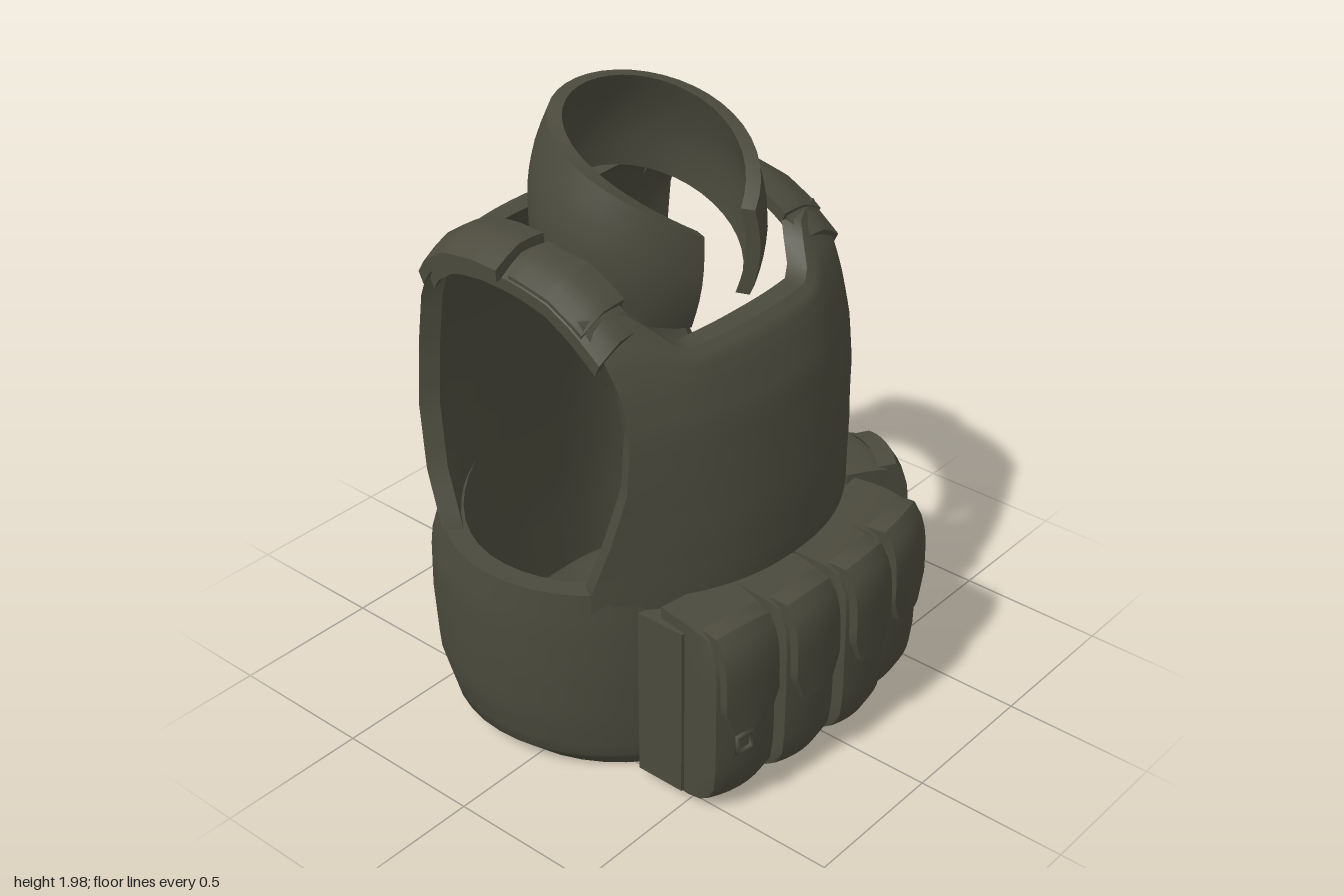
import * as THREE from 'three';

const CX = -0.025; // the vest sits slightly off centre
const { lerp, smoothstep } = THREE.MathUtils;

// Box whose vertices are moved by a rule: a in -1..1 across, b in 0..1 along, c in 0..1 outwards
function warp(na, nb, nc, rule) {
  const g = new THREE.BoxGeometry(2, 1, 1, na, nb, nc);
  const p = g.attributes.position;
  for (let i = 0; i < p.count; i++) {
    p.setXYZ(i, ...rule(p.getX(i), p.getY(i) + 0.5, p.getZ(i) + 0.5));
  }
  g.computeVertexNormals();
  return g;
}

// Linear lookup in a short table of cross-sections
function section(table, t) {
  const s = t * (table.length - 1);
  const i = Math.min(Math.floor(s), table.length - 2);
  return table[i].map((v, k) => lerp(v, table[i + 1][k], s - i));
}

export function createModel() {
  const vest = new THREE.Group();
  vest.name = 'armouredVest';
  const fabric = new THREE.MeshStandardMaterial({ color: 0x4b4a3d });
  fabric.name = 'olive fabric';
  const add = (name, geometry, parent = vest) => {
    const m = new THREE.Mesh(geometry, fabric);
    m.name = name;
    parent.add(m);
    return m;
  };

  // Chest panel: y, half width, z at centre, z at side edge; corners rise into the straps
  const chest = [
    [0.1, 0.58, 0.46, 0.18], [0.4, 0.6, 0.48, 0.19], [0.7, 0.61, 0.5, 0.21],
    [0.88, 0.575, 0.49, 0.26], [1.05, 0.54, 0.465, 0.295], [1.22, 0.52, 0.435, 0.295],
    [1.34, 0.52, 0.39, 0.27], [1.4, 0.53, 0.36, 0.25], [1.43, 0.54, 0.32, 0.22],
  ];
  add('chestPanel', warp(24, 24, 1, (a, b, c) => {
    const [y, w, zc, ze] = section(chest, b);
    const inner = 1 - c;
    const rise = b ** 7 * smoothstep(Math.abs(a), 0.5, 0.8);
    return [
      CX + a * (w - 0.03 * inner),
      y + 0.13 * rise,
      lerp(zc, ze, Math.abs(a) ** 2.3) - inner * (0.07 - 0.02 * a * a) - 0.1 * rise,
    ];
  }));

  // Back panel: y, half width, z at centre, z at side edge
  const back = [
    [0.1, 0.64, -0.64, -0.27], [0.4, 0.66, -0.66, -0.3], [0.68, 0.655, -0.66, -0.36],
    [0.88, 0.62, -0.655, -0.46], [1.08, 0.59, -0.645, -0.51], [1.28, 0.575, -0.625, -0.51],
    [1.46, 0.57, -0.575, -0.49], [1.59, 0.565, -0.51, -0.45], [1.67, 0.53, -0.45, -0.4],
  ];
  add('backPanel', warp(24, 24, 1, (a, b, c) => {
    const [y, w, zc, ze] = section(back, b);
    const inner = 1 - c;
    return [
      CX - a * (w - 0.05 * inner),
      y - 0.02 * b ** 6 * (1 - a * a) - 0.04 * b ** 6 * a ** 4,
      lerp(zc, ze, Math.abs(a) ** 3) + inner * (0.08 - 0.04 * a * a),
    ];
  }));

  // Waist belt: y, half width, z front, z back
  const waist = [
    [0.02, 0.62, 0.44, -0.59], [0.08, 0.69, 0.46, -0.69], [0.22, 0.72, 0.47, -0.735],
    [0.4, 0.73, 0.48, -0.745], [0.56, 0.73, 0.48, -0.74], [0.7, 0.715, 0.47, -0.685],
  ];
  add('waistBelt', warp(48, 15, 1, (a, b, c) => {
    const [y, w, zf, zb] = section(waist, b);
    const t = a * Math.PI, k = Math.cos(t);
    const thick = 0.07 * (1 - c);
    return [
      -0.03 + Math.sin(t) * (w - thick),
      y + 0.06 * b * Math.max(0, -k) ** 3,
      (zf + zb) / 2 + k * ((zf - zb) / 2 - thick),
    ];
  }));

  // Shoulder straps follow an arch from chest to back: z, y
  const arch = [
    [0.25, 1.39], [0.19, 1.46], [0.1, 1.53], [0, 1.585], [-0.12, 1.61],
    [-0.25, 1.615], [-0.36, 1.6], [-0.43, 1.55], [-0.48, 1.46],
  ];
  const strap = (side, from, to, half, lift, thick, shift) => warp(4, 16, 1, (a, b, c) => {
    const t = lerp(from, to, b);
    const [z, y] = section(arch, t);
    const out = a * side;
    const up = lift + c * thick * (1 - 0.25 * a * a);
    return [
      CX + side * (0.47 + shift) + a * half,
      y + up - 0.035 * out * (out > 0 ? 1 : 0.3),
      z + up * Math.cos(t * Math.PI) * 0.5,
    ];
  });
  for (const side of [-1, 1]) {
    const label = side > 0 ? 'left' : 'right';
    add(label + 'ShoulderStrap', strap(side, 0.12, 0.92, 0.085, 0, 0.05, 0));
    add(label + 'ShoulderPad', strap(side, 0.54, 0.94, 0.1, 0.03, 0.05, 0.005));
    add(label + 'StrapFlap', strap(side, 0.22, 0.52, 0.09, 0.025, 0.035, -0.01));
  }

  // Tilted neck collar, open at the front
  add('collar', warp(36, 6, 1, (a, b, c) => {
    const t = Math.PI + a * (Math.PI - 0.37);
    const k = Math.cos(t), f = (1 - k) / 2;
    const low = 1.4 + 0.29 * f;
    const high = 1.64 + 0.36 * f ** 0.5;
    const bulge = 0.025 * Math.sin(b * Math.PI) - 0.045 * (1 - c);
    return [
      -0.03 + Math.sin(t) * (0.375 - 0.055 * b + bulge),
      lerp(low, high, b),
      -0.1 + 0.04 * b + k * (0.32 - 0.01 * b + bulge),
    ];
  }));

  // Pouch with softened sides and a tapered cover flap, facing its own +z
  const pouchBody = (w, d) => warp(6, 8, 4, (a, b, c) => {
    const end = Math.abs(2 * b - 1) ** 5;
    const front = c ** 3;
    return [
      a * w / 2 * (1 - 0.14 * front * (0.4 + 0.6 * end)),
      0.04 + 0.64 * b + front * (b < 0.5 ? 0.03 : -0.03) * end,
      -d * (1 - c) - front * (0.02 * a * a + 0.04 * end),
    ];
  });
  const pouchFlap = (w) => warp(6, 8, 1, (a, b, c) => {
    const taper = b < 0.25 ? 0.68 + 1.28 * b : 1;
    return [
      a * w / 2 * taper,
      0.34 + 0.35 * b - 0.015 * a * a * b,
      -0.04 + c * 0.065 - 0.05 * b ** 6 - 0.012 * a * a,
    ];
  });
  // x, z of the outer face, turn, width, depth
  const pouches = [
    [-0.43, 0.655, -0.15, 0.25, 0.26], [-0.165, 0.695, -0.04, 0.24, 0.26],
    [0.095, 0.71, 0.04, 0.23, 0.27], [0.35, 0.665, 0.17, 0.25, 0.26],
    [0.68, 0.36, 1.05, 0.26, 0.22],
  ];
  pouches.forEach(([x, z, turn, w, d], i) => {
    const pouch = new THREE.Group();
    pouch.name = 'pouch' + (i + 1);
    pouch.position.set(x, 0, z);
    pouch.rotation.y = turn;
    add('pouchBody', pouchBody(w, d), pouch);
    add('pouchFlap', pouchFlap(w - 0.04), pouch);
    vest.add(pouch);
    // Small pull tab on the two end pouches
    if (i === 0 || i === 4) {
      const tab = add('pullTab', new THREE.TorusGeometry(0.04, 0.009, 6, 4), pouch);
      tab.position.set(-0.03, i ? 0.22 : 0.29, 0.01);
      tab.rotation.z = Math.PI / 4;
    }
  });

  // Curved backing that joins the front pouches to the belt
  add('pouchBacking', warp(16, 4, 1, (a, b, c) => [
    -0.04 + a * 0.5, 0.05 + 0.59 * b, 0.38 + 0.17 * c - 0.07 * a * a,
  ]));

  return vest;
}
